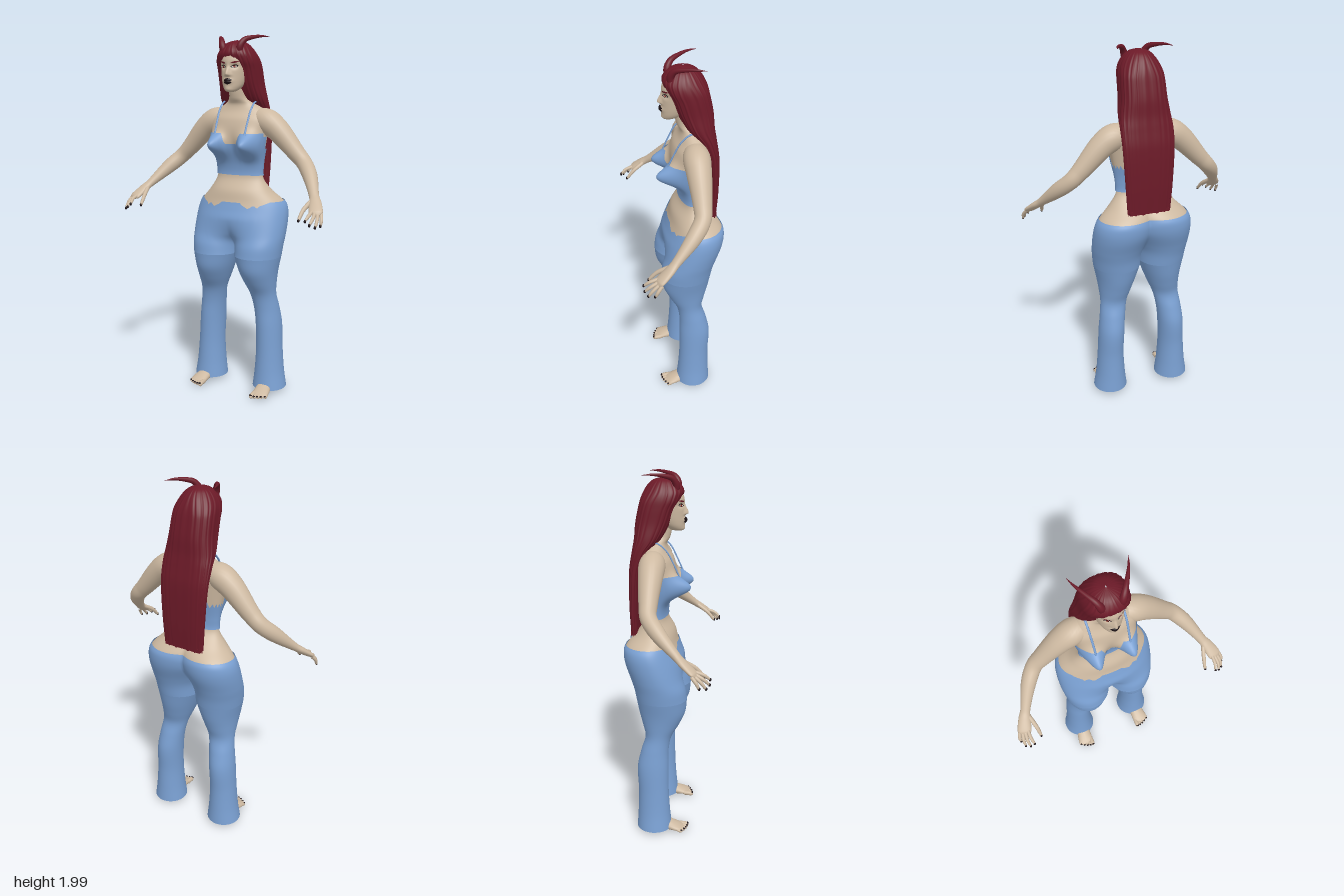
import * as THREE from 'three';

const mat = (name, color, side = THREE.FrontSide) => {
  const m = new THREE.MeshStandardMaterial({ color, side });
  m.name = name;
  return m;
};

// Smooth interpolation through rows whose first value is the key
function sampler(rows) {
  const slope = (i, k) => {
    const a = rows[Math.max(i - 1, 0)], b = rows[Math.min(i + 1, rows.length - 1)];
    return (b[k] - a[k]) / (b[0] - a[0]);
  };
  return (key) => {
    let i = 0;
    while (i < rows.length - 2 && key > rows[i + 1][0]) i++;
    const a = rows[i], b = rows[i + 1], h = b[0] - a[0];
    const t = Math.min(1, Math.max(0, (key - a[0]) / h)), t2 = t * t, t3 = t2 * t;
    return a.slice(1).map((_, j) => {
      const k = j + 1;
      return (2 * t3 - 3 * t2 + 1) * a[k] + (t3 - 2 * t2 + t) * h * slope(i, k)
        + (3 * t2 - 2 * t3) * b[k] + (t3 - t2) * h * slope(i + 1, k);
    });
  };
}

// Surface from fn(u, v); u wraps when closed, side -1 mirrors in x
function surface(name, material, nu, nv, fn, side = 1, closed = true) {
  const pos = [], idx = [], w = closed ? nu : nu + 1;
  for (let j = 0; j <= nv; j++) for (let i = 0; i < w; i++) {
    const p = fn(i / nu, j / nv);
    pos.push(p[0] * side, p[1], p[2]);
  }
  for (let j = 0; j < nv; j++) for (let i = 0; i < nu; i++) {
    const a = j * w + i, b = j * w + (i + 1) % w, c = a + w, d = b + w;
    if (side > 0) idx.push(a, c, b, b, c, d);
    else idx.push(a, b, c, b, d, c);
  }
  const g = new THREE.BufferGeometry();
  g.setAttribute('position', new THREE.Float32BufferAttribute(pos, 3));
  g.setIndex(idx);
  g.computeVertexNormals();
  const mesh = new THREE.Mesh(g, material);
  mesh.name = name;
  return mesh;
}

// Tapered limb along rows of [x, y, z, radius, other radius]
function limb(name, material, rows, side = 1, ref = [1, 0, 0], nu = 16, nv = 24) {
  const curve = new THREE.CatmullRomCurve3(rows.map((r) => new THREE.Vector3(r[0], r[1], r[2])));
  const radii = sampler(rows.map((r, i) => [i, r[3], r[4] ?? r[3]]));
  const R = new THREE.Vector3(...ref);
  return surface(name, material, nu, nv, (u, v) => {
    const p = curve.getPoint(v), T = curve.getTangent(v);
    const N = R.clone().addScaledVector(T, -R.dot(T)).normalize();
    const B = N.clone().cross(T), a = u * Math.PI * 2;
    const [ra, rb] = radii(v * (rows.length - 1)).map((r) => Math.max(r, 0.0004));
    p.addScaledVector(N, ra * Math.cos(a)).addScaledVector(B, rb * Math.sin(a));
    return [p.x, p.y, p.z];
  }, side);
}

// Body: y, half width, front z, back z, front split, back split
const bodyRows = sampler([
  [0.80, 0.257, 0.092, -0.175, 1, 1], [0.86, 0.264, 0.092, -0.192, 0.75, 0.85],
  [0.92, 0.27, 0.085, -0.22, 0.3, 0.6], [1.0, 0.271, 0.068, -0.255, 0.03, 0.4],
  [1.06, 0.264, 0.046, -0.264, 0, 0.35], [1.1, 0.246, 0.033, -0.254, 0, 0.35],
  [1.16, 0.187, 0.018, -0.195, 0, 0.2], [1.23, 0.142, -0.02, -0.135, 0, 0],
  [1.3, 0.139, -0.02, -0.13, 0, 0], [1.4, 0.155, 0.01, -0.15, 0, 0],
  [1.48, 0.168, 0.022, -0.163, 0, 0], [1.55, 0.18, 0.01, -0.168, 0, 0],
  [1.6, 0.145, -0.018, -0.155, 0, 0], [1.635, 0.088, -0.025, -0.135, 0, 0],
  [1.66, 0.056, -0.01, -0.11, 0, 0], [1.72, 0.05, 0.002, -0.1, 0, 0], [1.77, 0.05, 0.0, -0.1, 0, 0],
]);
function bodyPoint(a, y, off = 0) {
  let [rx, zf, zb, mf, mb] = bodyRows(y);
  const c = Math.cos(a), s = Math.sin(a), m = s > 0 ? mf : mb;
  const rz = (zf - zb) / 2 + off;
  const x = (rx + off) * c * (1 - m + m * Math.abs(c));
  let z = (zf + zb) / 2 + rz * s * (1 - m + 2 * m * Math.abs(c));
  if (s > 0) {
    z += 0.108 * Math.min(1, s * 2.5) * Math.exp(-(((Math.abs(x) - 0.098) / 0.05) ** 2) - ((y - 1.412) / 0.058) ** 2);
  }
  return [x, y, z];
}

// Head: y, half width, front z, back z
const headRows = sampler([
  [1.697, 0.004, 0.045, 0.03], [1.702, 0.026, 0.06, 0.0], [1.72, 0.046, 0.066, -0.04],
  [1.75, 0.061, 0.067, -0.08], [1.79, 0.071, 0.067, -0.11], [1.83, 0.077, 0.066, -0.125],
  [1.87, 0.08, 0.064, -0.13], [1.92, 0.07, 0.04, -0.12], [1.95, 0.03, -0.01, -0.08],
]);
const bell = (d, w) => Math.exp(-((d / w) ** 2));
const features = (x, y) =>
  bell(x, 0.011 + Math.max(0, 1.81 - y) * 0.2) * 0.021 * (y > 1.79 ? bell(y - 1.79, 0.034) : bell(y - 1.79, 0.009))
  - 0.01 * bell(Math.abs(x) - 0.033, 0.019) * bell(y - 1.832, 0.014)
  + 0.009 * bell(x, 0.024) * bell(y - 1.755, 0.013) + 0.004 * bell(x, 0.02) * bell(y - 1.712, 0.012);
function faceZ(x, y) {
  const [rx, zf, zb] = headRows(y);
  return (zf + zb) / 2 + (zf - zb) / 2 * Math.sqrt(Math.max(0, 1 - (x / rx) ** 2)) + features(x, y);
}

export function createModel() {
  const model = new THREE.Group();
  model.name = 'woman';
  const skin = mat('skin', 0xcdb9a1), hair = mat('hair', 0x6c1a28);
  const denim = mat('denim', 0x7aa0d2, THREE.DoubleSide);
  const dark = mat('lips and nails', 0x1b1115), iris = mat('eye red', 0x8c2a20), white = mat('eye white', 0xd8cfc6);
  const add = (...m) => model.add(...m);
  const TAU = Math.PI * 2;

  // Torso and neck
  add(surface('torso', skin, 96, 80, (u, v) => bodyPoint(u * TAU, 1.04 + 0.73 * v)));

  // Trouser hips with a scalloped waistband
  const waist = (x, s) => {
    const d = Math.abs(x);
    if (s < 0) return 1.105;
    if (d < 0.065) return 1.1;
    return d < 0.15 ? 1.078 + 0.008 * Math.sin(d * 110) : Math.min(1.105, 1.082 + (d - 0.15) * 0.35);
  };
  add(surface('trouserHips', denim, 112, 32, (u, v) => {
    const a = u * TAU, top = waist(0.255 * Math.cos(a), Math.sin(a));
    return bodyPoint(a, 0.8 + (top - 0.8) * v, 0.006);
  }));

  // Cropped top with notched neckline
  const neckline = (x, s) => {
    const d = Math.abs(x);
    if (s < -0.75) return 1.44;
    if (s < 0.05) return 1.385 + 0.012 * Math.sin(s * 40);
    if (s < 0.3) return 1.46;
    return d < 0.036 ? 1.42 : Math.min(1.478, 1.42 + (d - 0.036) * 3.5);
  };
  add(surface('cropTop', denim, 128, 36, (u, v) => {
    const a = u * TAU, top = neckline(0.165 * Math.cos(a), Math.sin(a));
    return bodyPoint(a, 1.245 + (top - 1.245) * v, 0.007);
  }));

  // Trouser leg: y, inner x, outer x, front z, back z
  const leg = sampler([
    [0.025, 0.097, 0.29, 0.02, -0.178], [0.12, 0.108, 0.275, 0.01, -0.172], [0.25, 0.115, 0.264, 0.002, -0.168],
    [0.4, 0.11, 0.256, 0, -0.173], [0.5, 0.1, 0.244, 0, -0.152], [0.58, 0.083, 0.234, 0.015, -0.13],
    [0.65, 0.055, 0.238, 0.055, -0.146], [0.72, 0.028, 0.247, 0.088, -0.165], [0.8, 0, 0.263, 0.098, -0.181],
  ]);

  for (const side of [1, -1]) {
    const part = side > 0 ? 'left' : 'right';
    add(surface(part + 'TrouserLeg', denim, 40, 48, (u, v) => {
      const y = 0.025 + 0.775 * v, [xi, xo, zf, zb] = leg(y), a = u * TAU;
      return [(xi + xo) / 2 + (xo - xi) / 2 * Math.cos(a), y, (zf + zb) / 2 + (zf - zb) / 2 * Math.sin(a)];
    }, side));

    // Arm running into a flat palm
    add(limb(part + 'Arm', skin, [
      [0.08, 1.555, -0.085, 0.05], [0.15, 1.545, -0.085, 0.068], [0.215, 1.505, -0.085, 0.065],
      [0.335, 1.38, -0.083, 0.048], [0.385, 1.33, -0.075, 0.043], [0.44, 1.272, -0.025, 0.04],
      [0.508, 1.18, 0.075, 0.026, 0.022], [0.53, 1.15, 0.112, 0.032, 0.019],
      [0.555, 1.11, 0.165, 0.036, 0.014], [0.561, 1.1, 0.178, 0.02, 0.005],
    ], side, [1, 0.1, -0.35], 24, 60));

    // Fingers: base, bend, tip
    const fingers = [
      [[0.505, 1.155, 0.11], [0.488, 1.115, 0.17], [0.482, 1.072, 0.208]],
      [[0.537, 1.115, 0.17], [0.537, 1.1, 0.212], [0.53, 1.078, 0.238]],
      [[0.552, 1.108, 0.17], [0.558, 1.085, 0.212], [0.553, 1.06, 0.237]],
      [[0.566, 1.105, 0.165], [0.577, 1.075, 0.202], [0.577, 1.048, 0.222]],
      [[0.58, 1.105, 0.155], [0.592, 1.075, 0.18], [0.592, 1.052, 0.19]],
    ];
    fingers.forEach(([b, m, t], i) => {
      const r = i === 0 ? 0.012 : 0.0098;
      add(limb(part + 'Finger' + i, skin, [[...b, r], [...m, r * 0.9], [...t, r * 0.6],
        [t[0], t[1] - 0.005, t[2] + 0.003, 0]], side, [1, 0, 0], 10, 14));
      const nail = new THREE.Mesh(new THREE.SphereGeometry(1, 10, 8), dark);
      nail.name = part + 'FingerNail' + i;
      nail.scale.set(0.0065, 0.009, 0.0065);
      nail.position.set(t[0] * side, t[1] - 0.001, t[2] + 0.003);
      add(nail);
    });

    // Foot, ankle and toes
    add(limb(part + 'Foot', skin, [
      [0.188, 0.028, -0.125, 0.004], [0.188, 0.032, -0.115, 0.028, 0.026], [0.19, 0.042, -0.06, 0.034, 0.038],
      [0.196, 0.034, 0.0, 0.042, 0.03], [0.203, 0.022, 0.06, 0.047, 0.018], [0.205, 0.016, 0.088, 0.04, 0.009],
    ], side));
    add(limb(part + 'Ankle', skin, [[0.188, 0.03, -0.08, 0.032], [0.185, 0.12, -0.08, 0.034], [0.185, 0.3, -0.085, 0.045]],
      side));
    for (let i = 0; i < 5; i++) {
      const x = 0.168 + i * 0.0185, r = i ? 0.0095 : 0.014, z = 0.108 - i * i * 0.0018;
      add(limb(part + 'Toe' + i, skin, [[x, 0.02, 0.06, r], [x, 0.018, z - 0.012, r], [x, 0.014, z, r * 0.85],
        [x, 0.012, z + 0.009, 0]], side, [1, 0, 0], 10, 12));
      const nail = new THREE.Mesh(new THREE.SphereGeometry(1, 10, 8), dark);
      nail.name = part + 'ToeNail' + i;
      nail.scale.set(r * 0.7, 0.004, 0.007);
      nail.position.set(x * side, 0.014 + r * 0.75, z + 0.001);
      add(nail);
    }

    // Shoulder strap
    const strap = [[0.092, 1.47, 0.05], [0.094, 1.54, 0.018], [0.096, 1.605, -0.018], [0.096, 1.645, -0.07],
      [0.094, 1.63, -0.13], [0.09, 1.56, -0.168], [0.09, 1.43, -0.155]];
    add(limb(part + 'Strap', denim, strap.map((p) => [...p, 0.006, 0.004]), side, [1, 0, 0], 8, 40));

    // Horn sweeping out and back
    add(limb(part + 'Horn', hair, [
      [0.046, 1.895, 0.02, 0.02], [0.052, 1.935, 0.028, 0.019], [0.068, 1.968, 0.01, 0.015],
      [0.098, 1.984, -0.035, 0.0105], [0.126, 1.991, -0.085, 0.006], [0.145, 1.99, -0.135, 0.0004],
    ], side));

    // Eyes and brows laid on the face
    const lens = (name, m, cx, cy, w, h, tilt, off) => add(surface(name, m, 14, 6, (u, v) => {
      const k = 1 - 2 * u, x = cx + w * k;
      const y = cy + tilt * k + h * (1 - k * k) * (2 * v - 1);
      return [x, y, faceZ(x, y) + off];
    }, side, false));
    lens(part + 'EyeLiner', dark, 0.033, 1.832, 0.019, 0.0085, 0.003, 0.002);
    lens(part + 'EyeWhite', white, 0.033, 1.831, 0.014, 0.005, 0.002, 0.0035);
    lens(part + 'Iris', iris, 0.033, 1.831, 0.006, 0.005, 0, 0.005);
    lens(part + 'Brow', hair, 0.036, 1.853, 0.023, 0.0045, 0.005, 0.002);
  }

  // Head
  add(surface('head', skin, 128, 96, (u, v) => {
    const y = 1.697 + 0.253 * v, [rx, zf, zb] = headRows(y), a = u * TAU, x = rx * Math.cos(a), s = Math.sin(a);
    return [x, y, (zf + zb) / 2 + (zf - zb) / 2 * s + (s > 0 ? features(x, y) * Math.min(1, s * 3) : 0)];
  }));

  // Lips
  for (const [name, cy, h, w] of [['upperLip', 1.761, 0.009, 0.026], ['lowerLip', 1.749, 0.011, 0.024]]) {
    add(surface(name, dark, 18, 8, (u, v) => {
      const k = 1 - 2 * u, q = 2 * v - 1, x = w * k, y = cy + h * (1 - k * k) * q;
      return [x, y, faceZ(x, y) + 0.002 + 0.004 * (1 - k * k) * (1 - q * q)];
    }, 1, false));
  }

  // Long hair: y, half width, front z, back z
  const mane = sampler([
    [1.15, 0.118, -0.172, -0.215], [1.3, 0.128, -0.17, -0.222], [1.5, 0.138, -0.15, -0.22],
    [1.6, 0.139, -0.105, -0.205], [1.66, 0.134, -0.05, -0.195], [1.74, 0.122, -0.005, -0.188],
    [1.82, 0.117, 0.025, -0.172], [1.865, 0.112, 0.05, -0.16], [1.9, 0.1, 0.062, -0.145],
    [1.935, 0.077, 0.045, -0.122], [1.96, 0.046, 0.012, -0.09], [1.971, 0.003, -0.035, -0.045],
  ]);
  add(surface('hair', hair, 144, 72, (u, v) => {
    const a = u * TAU, c = Math.cos(a), s = Math.sin(a);
    const y = 1.971 - 0.821 * (1 - v) ** 1.3, [rx, zf, zb] = mane(y);
    const box = (t) => Math.sign(t) * Math.abs(t) ** (y < 1.85 ? 0.72 : 0.72 + Math.min(0.28, (y - 1.85) * 3));
    const strands = 1 + 0.012 * Math.sin(a * 24) + 0.008 * Math.sin(a * 41 + 1);
    const ragged = v < 0.1 ? (1 - v / 0.1) * 0.008 * Math.sin(a * 15) : 0;
    return [rx * box(c) * strands, y + ragged, (zf + zb) / 2 + (zf - zb) / 2 * box(s) * strands];
  }));

  // Underside of the hair ends
  const ends = new THREE.Mesh(new THREE.BoxGeometry(0.22, 0.02, 0.034), hair);
  ends.name = 'hairEnds';
  ends.position.set(0, 1.155, -0.194);
  add(ends);

  return model;
}
